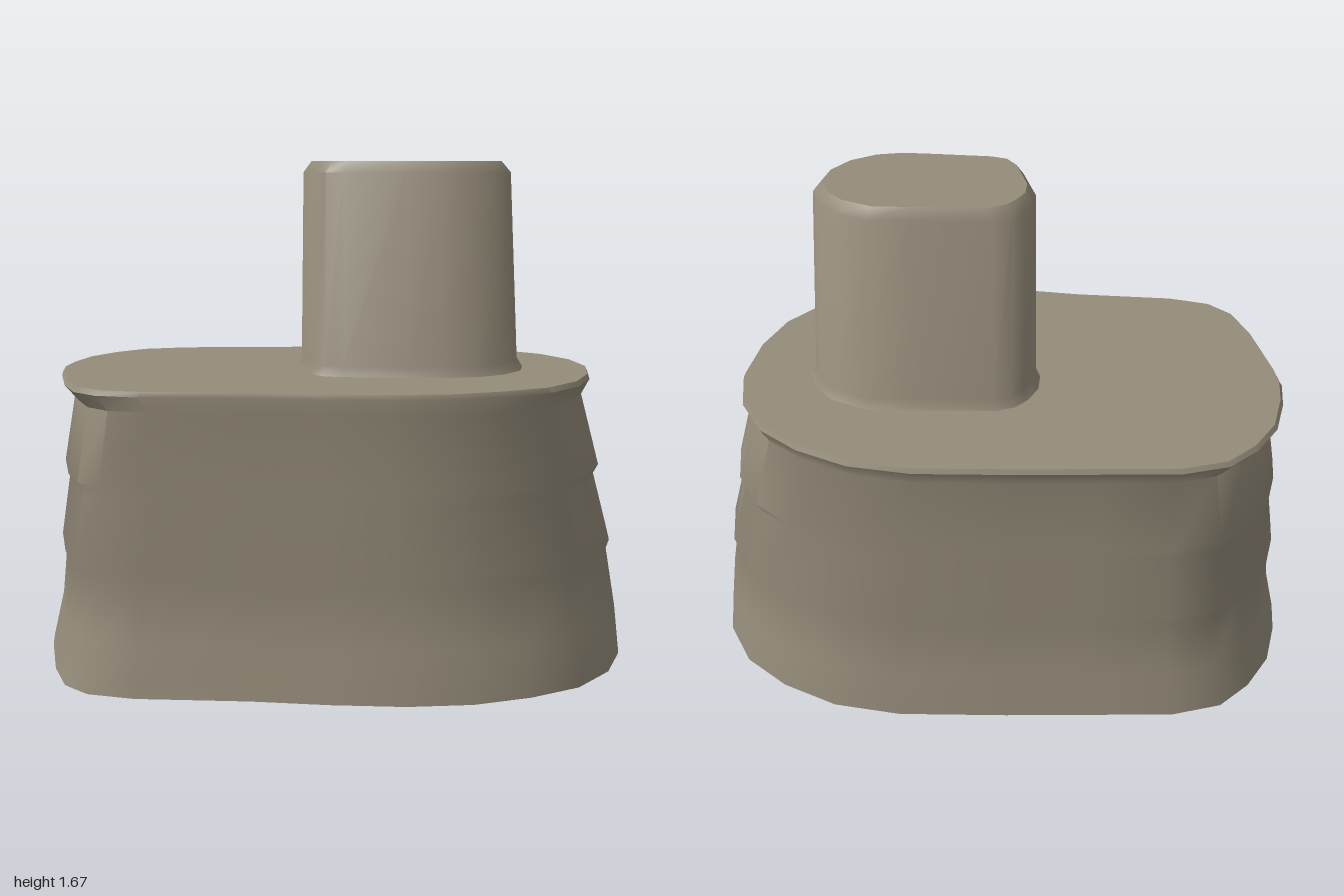
import * as THREE from 'three';
import { toCreasedNormals } from 'three/addons/utils/BufferGeometryUtils.js';

// Plan outlines as [x, z], clockwise seen from above
const BODY = [
  [-0.56, -0.665], [-0.3, -0.66], [0, -0.655], [0.36, -0.64], [0.58, -0.59], [0.76, -0.49], [0.9, -0.36],
  [0.98, -0.19], [1, 0], [0.96, 0.21], [0.88, 0.39], [0.75, 0.53], [0.58, 0.61], [0.39, 0.66], [0.18, 0.665],
  [-0.06, 0.635], [-0.3, 0.59], [-0.67, 0.545], [-0.82, 0.495], [-0.9, 0.41], [-0.95, 0.25], [-0.99, 0],
  [-1, -0.11], [-0.98, -0.24], [-0.93, -0.4], [-0.84, -0.53], [-0.73, -0.625],
];
const POST = [
  [0.02, -0.26], [0.3, -0.25], [0.45, -0.24], [0.56, -0.18], [0.62, -0.1], [0.645, 0], [0.62, 0.1],
  [0.55, 0.19], [0.45, 0.245], [0.35, 0.26], [0.22, 0.245], [0, 0.215], [-0.06, 0.19], [-0.095, 0.13],
  [-0.12, 0], [-0.13, -0.05], [-0.12, -0.13], [-0.08, -0.2], [-0.04, -0.24],
];

// Levels as [y, xMin, xMax, zMin, zMax]
const BODY_LEVELS = [
  [0, -1, 1, -0.665, 0.667], [0.17, -0.96, 0.98, -0.648, 0.65], [0.37, -0.94, 0.945, -0.628, 0.63],
  [0.4, -0.955, 0.955, -0.635, 0.637], [0.63, -0.92, 0.893, -0.607, 0.61], [0.66, -0.937, 0.91, -0.614, 0.617],
  [0.9, -0.895, 0.845, -0.578, 0.585], [0.95, -0.94, 0.873, -0.602, 0.602], [0.967, -0.93, 0.865, -0.596, 0.597],
];
const POST_LEVELS = [
  [0.967, -0.13, 0.645, -0.257, 0.26], [1.0, -0.115, 0.625, -0.242, 0.246],
  [1.63, -0.107, 0.592, -0.23, 0.236], [1.667, -0.08, 0.56, -0.21, 0.215],
];

// Stretch an outline to each level's bounds, skin the rings and cap the ends
function loft(outline, levels, capBottom) {
  const n = outline.length;
  const xs = outline.map((p) => p[0]);
  const zs = outline.map((p) => p[1]);
  const x0 = Math.min(...xs), x1 = Math.max(...xs), z0 = Math.min(...zs), z1 = Math.max(...zs);
  const pos = [];
  const idx = [];
  for (const [y, xa, xb, za, zb] of levels) {
    for (const [x, z] of outline) {
      pos.push(THREE.MathUtils.mapLinear(x, x0, x1, xa, xb), y, THREE.MathUtils.mapLinear(z, z0, z1, za, zb));
    }
  }
  for (let i = 0; i < levels.length - 1; i++) {
    for (let j = 0; j < n; j++) {
      const k = (j + 1) % n;
      const a = i * n + j, b = i * n + k;
      idx.push(a, a + n, b, b, a + n, b + n);
    }
  }
  const cap = (level, up) => {
    const [y, xa, xb, za, zb] = levels[level];
    const c = pos.length / 3;
    pos.push((xa + xb) / 2, y, (za + zb) / 2);
    for (let j = 0; j < n; j++) {
      const a = level * n + j, b = level * n + ((j + 1) % n);
      if (up) idx.push(c, b, a);
      else idx.push(c, a, b);
    }
  };
  cap(levels.length - 1, true);
  if (capBottom) cap(0, false);
  const g = new THREE.BufferGeometry();
  g.setAttribute('position', new THREE.Float32BufferAttribute(pos, 3));
  g.setIndex(idx);
  return toCreasedNormals(g, 0.75);
}

export function createModel() {
  const group = new THREE.Group();
  group.name = 'taperedBlockWithPost';
  const clay = new THREE.MeshStandardMaterial({ color: 0x958c7a });
  clay.name = 'clay';

  // Tapered body with stepped ridges and a flared top rim
  const body = new THREE.Mesh(loft(BODY, BODY_LEVELS, true), clay);
  body.name = 'body';

  // Off-centre post with a filleted foot and bevelled top
  const post = new THREE.Mesh(loft(POST, POST_LEVELS, false), clay);
  post.name = 'post';

  group.add(body, post);
  return group;
}
